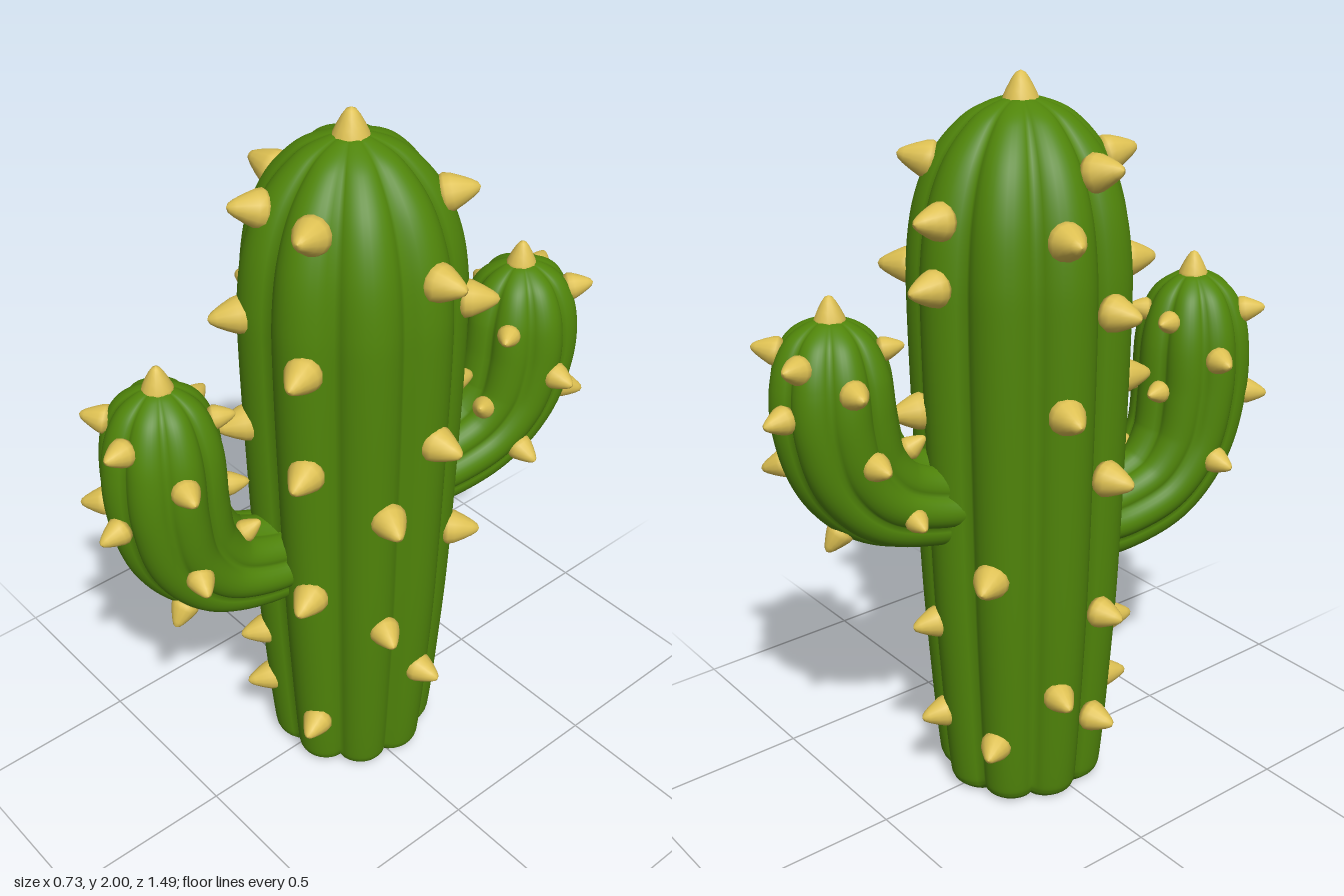
import * as THREE from 'three';

const green = new THREE.MeshStandardMaterial({ color: 0x50850a });
green.name = 'cactusGreen';
const straw = new THREE.MeshStandardMaterial({ color: 0xddc052 });
straw.name = 'spineYellow';

const V = (x, y, z) => new THREE.Vector3(x, y, z);

// Rings along a path: centre, tangent and radius; profile is [t, radius] pairs
function makeRings(path, profile, count) {
  const spline = new THREE.SplineCurve(profile.map(([t, r]) => new THREE.Vector2(t, r)));
  const rings = [];
  for (let i = 0; i <= count; i++) {
    const p = spline.getPoint(i / count);
    const t = THREE.MathUtils.clamp(p.x, 0, 1);
    rings.push({ c: path.getPointAt(t), t: path.getTangentAt(t), r: i === count ? 0 : Math.max(p.y, 0) });
  }
  return rings;
}

// Skin of puffy lengthwise ribs with narrow grooves, closed at both ends;
// a rib lies at the phase angle, measured from the side vector
function ribbedStem(name, rings, side, lobes, depth, phase) {
  const seg = lobes * 10;
  const all = [{ ...rings[0], r: 0 }, { ...rings[0], r: rings[0].r * 0.96 }, ...rings];
  const pos = [], idx = [];
  all.forEach(({ c, t, r }) => {
    const n = side.clone().cross(t).normalize();
    for (let j = 0; j < seg; j++) {
      const rib = (j / seg) * Math.PI * 2, a = rib + phase;
      const k = r * (1 - depth + depth * Math.pow(Math.abs(Math.cos((rib * lobes) / 2)), 0.72));
      const p = c.clone().addScaledVector(side, Math.cos(a) * k).addScaledVector(n, Math.sin(a) * k);
      pos.push(p.x, p.y, p.z);
    }
  });
  for (let i = 0; i < all.length - 1; i++) {
    for (let j = 0; j < seg; j++) {
      const a = i * seg + j, b = i * seg + ((j + 1) % seg), c = a + seg, d = b + seg;
      idx.push(a, c, b, b, c, d);
    }
  }
  const geo = new THREE.BufferGeometry();
  geo.setAttribute('position', new THREE.Float32BufferAttribute(pos, 3));
  geo.setIndex(idx);
  geo.computeVertexNormals();
  const mesh = new THREE.Mesh(geo, green);
  mesh.name = name;
  return mesh;
}

// Blunt, round-tipped spine pointing along +y
const spineGeo = new THREE.LatheGeometry(
  [[0, -0.03], [0.042, -0.022], [0.051, -0.004], [0.047, 0.014], [0.035, 0.04], [0.022, 0.064], [0.012, 0.078], [0, 0.084]]
    .map(([x, y]) => new THREE.Vector2(x, y)), 14);

function spine(base, dir, size) {
  const mesh = new THREE.Mesh(spineGeo, straw);
  mesh.name = 'spine';
  mesh.position.copy(base);
  mesh.quaternion.setFromUnitVectors(V(0, 1, 0), dir.clone().normalize());
  mesh.scale.setScalar(size);
  return mesh;
}

// Seat a spine on the stem surface, next to the given point
function spineNear(rings, point, size) {
  let best = 1;
  for (let i = 1; i < rings.length - 1; i++) {
    if (rings[i].c.distanceTo(point) < rings[best].c.distanceTo(point)) best = i;
  }
  const { c, t, r } = rings[best], a = rings[best - 1], b = rings[best + 1];
  const out = point.clone().sub(c);
  out.addScaledVector(t, -out.dot(t)).normalize();
  const slope = (a.r - b.r) / Math.max(a.c.distanceTo(b.c), 0.001);
  const dir = out.clone().addScaledVector(t, THREE.MathUtils.clamp(slope * 0.4, -0.1, 0.4));
  return spine(c.clone().addScaledVector(out, r * 0.98), dir, size);
}

function makeArm(name, points, outer, inner) {
  const group = new THREE.Group();
  group.name = name;
  const path = new THREE.CatmullRomCurve3(points.map(p => V(...p)));
  const rings = makeRings(path,
    [[0, 0.122], [0.25, 0.137], [0.45, 0.152], [0.62, 0.162], [0.76, 0.162], [0.86, 0.147], [0.94, 0.112], [0.985, 0.058], [1, 0]], 90);
  const first = path.getPointAt(0), last = path.getPointAt(1);
  const side = V(0, 1, 0).cross(last.clone().sub(first).setY(0).normalize());
  group.add(ribbedStem(name + 'Stem', rings, side, 8, 0.15, 0));
  outer.forEach(p => group.add(spineNear(rings, V(...p), 0.74)));
  inner.forEach(p => group.add(spineNear(rings, V(...p), 0.62)));
  group.add(spine(last.clone().add(V(0, -0.014, 0)), V(0, 1, 0), 0.82));
  return group;
}

export function createModel() {
  const model = new THREE.Group();
  model.name = 'cactus';

  // Trunk, with a groove facing the front
  const zc = -0.02, top = 1.94;
  const trunkPath = new THREE.LineCurve3(V(0, 0, zc), V(0, top, zc));
  const trunk = makeRings(trunkPath,
    [[0, 0.208], [0.012, 0.23], [0.04, 0.24], [0.15, 0.257], [0.32, 0.277], [0.55, 0.291], [0.72, 0.297], [0.8, 0.293],
      [0.87, 0.27], [0.93, 0.22], [0.975, 0.142], [0.995, 0.062], [1, 0]], 200);
  model.add(ribbedStem('trunk', trunk, V(1, 0, 0), 9, 0.15, Math.PI * 7 / 18));

  // Trunk spines: angle around the trunk in degrees, then heights
  const columns = [
    [-8, 1.64, 1.18, 0.36], [21, 0.97, 0.58],
    [64, 1.78, 1.43, 1.13, 0.71, 0.2], [111, 1.78, 1.5, 1.18, 0.43, 0.25],
    [166, 1.78, 1.43, 0.98, 0.58, 0.24], [195, 1.64, 1.19, 0.36],
    [235, 0.73, 0.2], [265, 1.67, 1.51], [278, 0.54, 0.24],
    [285, 1.15], [310, 1.78], [315, 1.5, 0.75],
  ];
  const spines = new THREE.Group();
  spines.name = 'trunkSpines';
  columns.forEach(([deg, ...heights]) => {
    const a = THREE.MathUtils.degToRad(deg);
    heights.forEach(y => spines.add(
      spineNear(trunk, V(Math.cos(a) * 0.3, y, zc + Math.sin(a) * 0.3), y < 0.6 ? 0.86 : 0.98)));
  });
  spines.add(spine(V(0, 1.911, zc), V(0, 1, 0), 1.06));
  model.add(spines);

  // Arms with their spines
  model.add(makeArm('frontArm',
    [[-0.04, 0.75, 0.12], [-0.055, 0.755, 0.26], [-0.075, 0.81, 0.4], [-0.087, 0.925, 0.485], [-0.09, 1.08, 0.517],
      [-0.09, 1.22, 0.52], [-0.09, 1.415, 0.515]],
    [[-0.2, 1.31, 0.62], [-0.05, 1.3, 0.66], [0.07, 1.2, 0.56], [-0.26, 1.2, 0.47], [-0.2, 1.06, 0.64], [-0.07, 1.06, 0.69],
      [0.08, 0.9, 0.54], [-0.27, 0.9, 0.49], [-0.05, 0.71, 0.53]],
    [[-0.01, 1.31, 0.39], [-0.14, 1.3, 0.37], [0.0, 1.1, 0.38], [-0.13, 1.1, 0.36], [0.0, 0.93, 0.33]]));
  model.add(makeArm('backArm',
    [[0.03, 0.89, -0.14], [0.06, 0.905, -0.29], [0.08, 0.955, -0.42], [0.095, 1.05, -0.5], [0.1, 1.18, -0.535],
      [0.1, 1.3, -0.54], [0.1, 1.45, -0.535]],
    [[0.07, 1.23, -0.7], [0.19, 1.36, -0.65], [0.04, 1.36, -0.67], [0.26, 1.16, -0.53], [0.2, 1.06, -0.64], [0.22, 0.94, -0.45],
      [0.1, 0.86, -0.54], [-0.06, 1.3, -0.57], [-0.06, 1.1, -0.52]],
    [[0.03, 1.36, -0.41], [0.18, 1.3, -0.42], [0.16, 1.08, -0.36], [0.02, 1.08, -0.37], [-0.04, 0.92, -0.4]]));
  return model;
}
